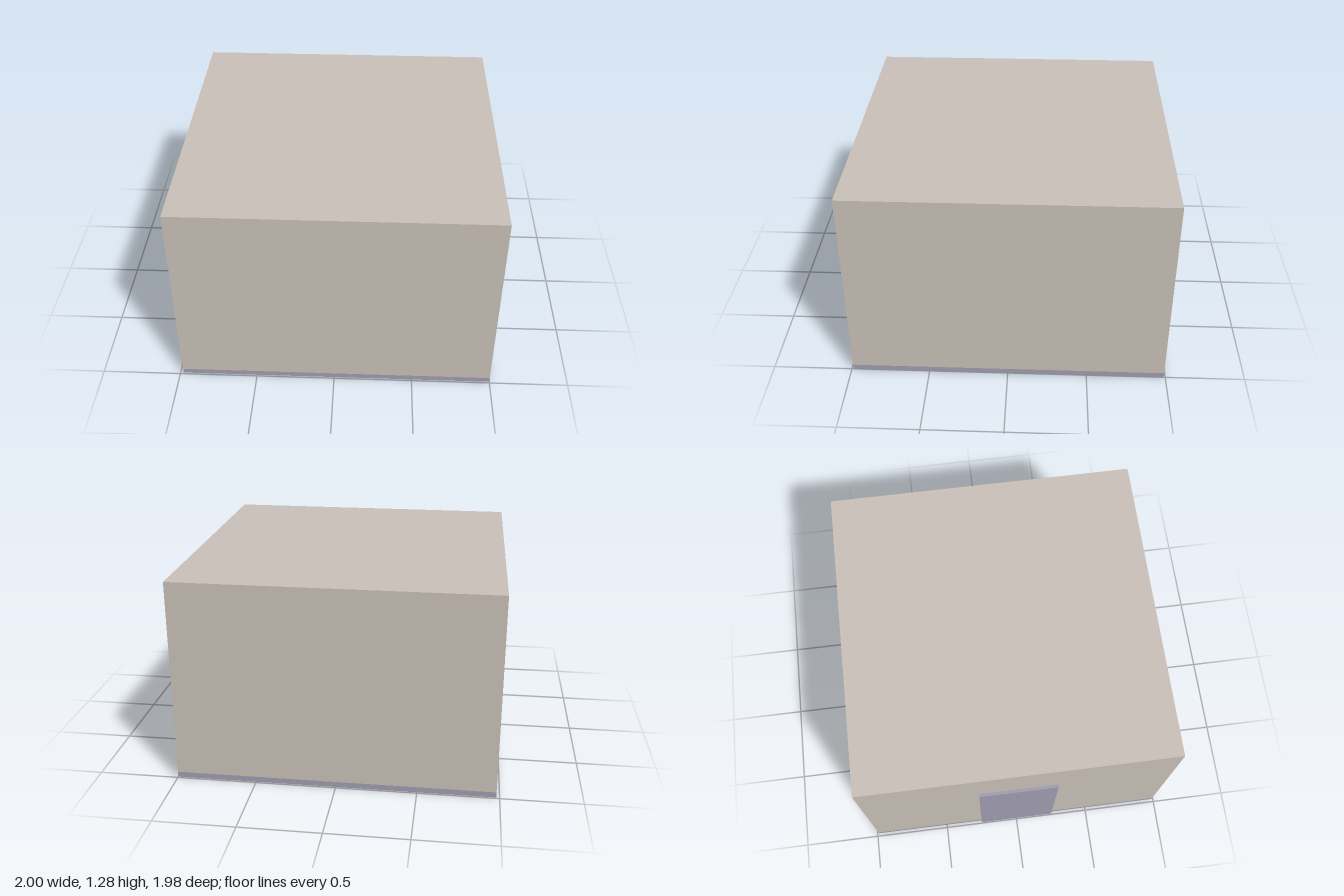
import * as THREE from 'three';

export function createModel() {
  const model = new THREE.Group();
  model.name = 'room';
  const plaster = new THREE.MeshStandardMaterial({ color: 0xc9c0b7 });
  plaster.name = 'warm plaster';
  const slate = new THREE.MeshStandardMaterial({ color: 0xa09cb0 });
  slate.name = 'lavender grey';

  // Box given by its lower and upper corners
  const box = (name, material, min, max) => {
    const size = max.map((v, i) => v - min[i]);
    const mesh = new THREE.Mesh(new THREE.BoxGeometry(...size), material);
    mesh.position.set(...min.map((v, i) => (v + max[i]) / 2));
    mesh.name = name;
    model.add(mesh);
  };

  const x0 = -0.98, x1 = 1, z = 0.99;
  const floorTop = 0.035, wallTop = 1.25, roofTop = 1.285, t = 0.035;

  // Floor and roof slabs
  box('floor', slate, [x0, 0, -z], [x1, floorTop, z]);
  box('roof', plaster, [x0, wallTop, -z], [x1, roofTop, z]);

  // Four walls around a hollow room
  box('frontWall', plaster, [x0, floorTop, z - t], [x1, wallTop, z]);
  box('backWall', plaster, [x0, floorTop, -z], [x1, wallTop, t - z]);
  box('leftWall', plaster, [x1 - t, floorTop, t - z], [x1, wallTop, z - t]);
  box('rightWall', plaster, [x0, floorTop, t - z], [x0 + t, wallTop, z - t]);

  // Door standing proud of the right wall
  box('door', slate, [-1, floorTop, -0.25], [x0, 0.93, 0.25]);

  return model;
}
